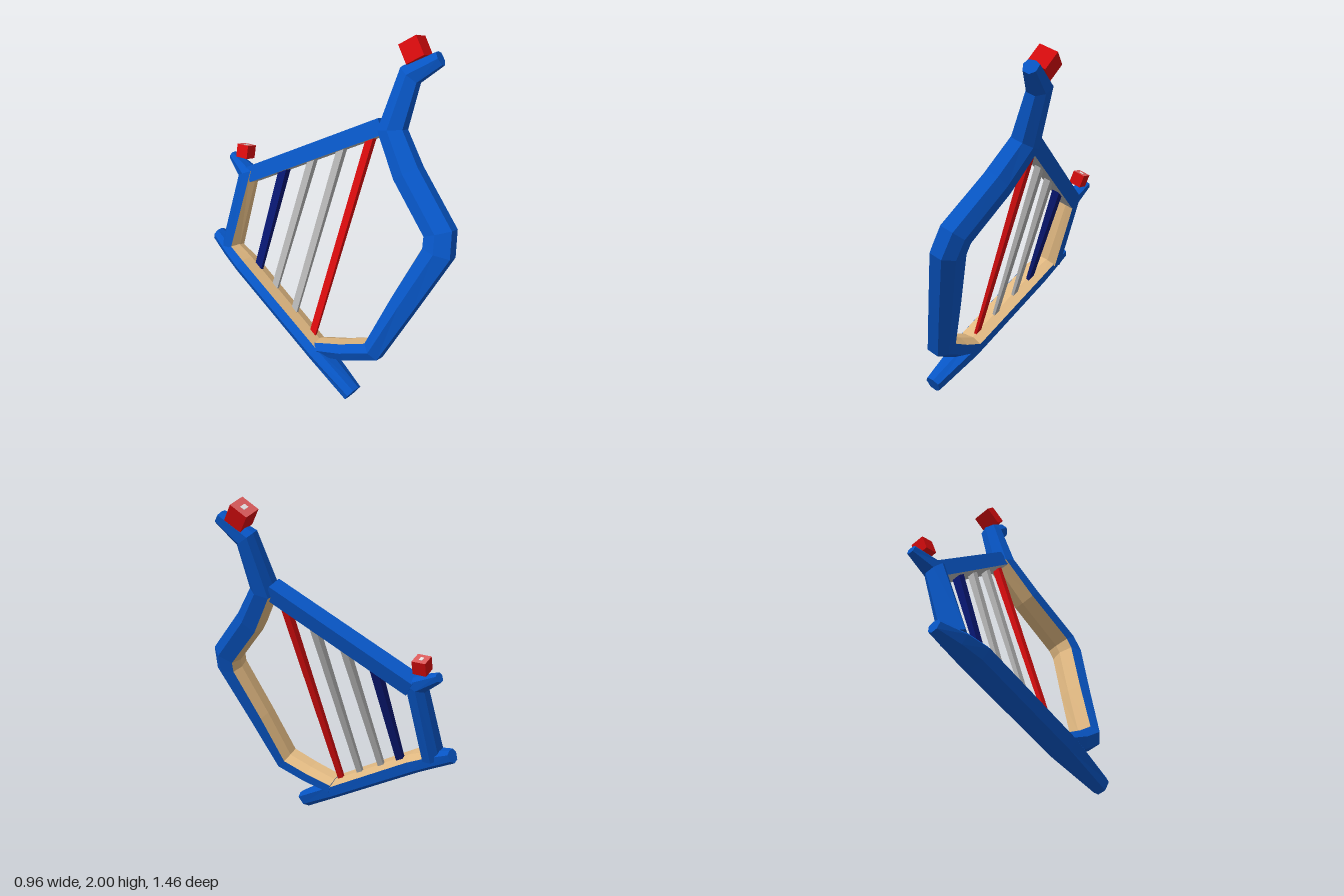
import * as THREE from 'three';

// The harp lies in a tilted plane; points are given as (z, y) and x follows.
const N = new THREE.Vector3(0.876, -0.356, -0.327).normalize();
const P = (z, y, off = 0) =>
  new THREE.Vector3(-0.436 + 0.4064 * y + 0.3733 * z, y, z).addScaledVector(N, off);

const mat = (name, color) => {
  const m = new THREE.MeshStandardMaterial({ color, flatShading: true });
  m.name = name;
  return m;
};

// Facets given as triples of Vector3
function facets(name, tris, material) {
  const g = new THREE.BufferGeometry().setFromPoints(tris);
  g.computeVertexNormals();
  const mesh = new THREE.Mesh(g, material);
  mesh.name = name;
  return mesh;
}

// Beam cross-section: (outward, across the plane); the last two edges face inward
const SECTION = [[-0.74, -0.74], [0.1, -1], [1, -0.45], [1, 0.45], [0.3, 1], [-0.78, 0.9], [-1, 0.15]];

// Sweep a chamfered beam along points [z, y, halfWidth, halfThickness, offset].
// Segments whose index is in [from, to) get wooden inner faces.
function beam(name, path, blue, wood, from, to) {
  const pts = path.map(([z, y, , , off]) => P(z, y, off));
  const dirs = pts.slice(1).map((p, i) => p.clone().sub(pts[i]).normalize());
  const rings = path.map(([, , w, h], i) => {
    const d0 = dirs[Math.max(i - 1, 0)], d1 = dirs[Math.min(i, dirs.length - 1)];
    const t = d0.clone().add(d1).normalize();
    const out = t.clone().cross(N).normalize();
    const a = w / Math.max(t.dot(d0), 0.6);
    return SECTION.map(([u, v]) =>
      pts[i].clone().addScaledVector(out, u * a).addScaledVector(N, v * h));
  });
  const count = SECTION.length, shell = [], inner = [];
  for (let k = 1; k < rings.length; k++) {
    const p = rings[k - 1], c = rings[k];
    for (let j = 0; j < count; j++) {
      const n = (j + 1) % count;
      const list = j >= count - 2 && k - 1 >= from && k - 1 < to ? inner : shell;
      list.push(c[j], c[n], p[j], c[n], p[n], p[j]);
    }
  }
  // End caps
  const s = rings[0], e = rings[rings.length - 1];
  for (let j = 1; j < count - 1; j++) shell.push(s[0], s[j], s[j + 1], e[0], e[j + 1], e[j]);
  const group = new THREE.Group();
  group.name = name;
  group.add(facets(name + 'Shell', shell, blue), facets(name + 'InnerFace', inner, wood));
  return group;
}

// Box whose x axis is the plane normal and whose y axis follows "up"
function alignedBox(name, size, center, up, material) {
  const mesh = new THREE.Mesh(new THREE.BoxGeometry(...size), material);
  const y = up.clone().addScaledVector(N, -up.dot(N)).normalize();
  mesh.quaternion.setFromRotationMatrix(
    new THREE.Matrix4().makeBasis(N, y, N.clone().cross(y)));
  mesh.position.copy(center);
  mesh.name = name;
  return mesh;
}

export function createModel() {
  const blue = mat('frame blue', 0x0755c4);
  const wood = mat('inner wood', 0xe1b982);
  const red = mat('red', 0xd60b0d);
  const pink = mat('knob pink', 0xd85a5a);
  const white = mat('knob white', 0xe4e0e0);
  const grey = mat('string grey', 0xb2b2b2);
  const navy = mat('string navy', 0x071670);
  const harp = new THREE.Group();
  harp.name = 'harp';

  // Curved pillar from the neck tip down to the base
  harp.add(beam('pillar', [
    [0.295, 1.9, 0.04, 0.042], [0.17, 1.79, 0.062, 0.062], [0.175, 1.5, 0.075, 0.077],
    [0.34, 1.31, 0.085, 0.083], [0.61, 1.075, 0.085, 0.085], [0.638, 0.98, 0.087, 0.085],
    [0.565, 0.66, 0.077, 0.083], [0.5, 0.355, 0.06, 0.083], [0.35, 0.285, 0.058, 0.08],
    [0.2, 0.235, 0.05, 0.075],
  ], blue, wood, 2, 9));

  // Base bar with projecting foot
  harp.add(beam('baseBar', [
    [0.475, 0.06, 0.052, 0.05], [0.2, 0.21, 0.055, 0.083, -0.008],
    [-0.41, 0.528, 0.055, 0.088, -0.022], [-0.53, 0.58, 0.05, 0.07, -0.015],
    [-0.66, 0.63, 0.038, 0.04],
  ], blue, wood, 1, 3));

  // Short rear post with its horn
  harp.add(beam('rearPost', [
    [-0.54, 0.6, 0.048, 0.078, -0.01], [-0.57, 1.04, 0.05, 0.06, -0.01],
    [-0.715, 1.105, 0.026, 0.028],
  ], blue, wood, 0, 1));

  // Plain crossbar holding the strings, grey on the underside
  const c0 = P(-0.55, 1.035), c1 = P(0.13, 1.508);
  const barDir = c1.clone().sub(c0);
  harp.add(alignedBox('crossbar', [0.1, barDir.length(), 0.092],
    c0.add(c1).multiplyScalar(0.5), barDir, [blue, blue, blue, blue, grey, blue]));

  // Strings, thinner at the foot: top z, top y, bottom z, bottom y, width
  [
    ['redString', 0.08, 1.45, 0.135, 0.25, 0.042, red],
    ['frontGreyString', -0.062, 1.36, -0.02, 0.34, 0.042, grey],
    ['rearGreyString', -0.21, 1.26, -0.185, 0.42, 0.042, grey],
    ['navyString', -0.36, 1.15, -0.325, 0.49, 0.05, navy],
  ].forEach(([name, z1, y1, z0, y0, w, m]) => {
    const a = P(z1, y1), b = P(z0, y0);
    const along = a.clone().sub(b);
    const string = alignedBox(name, [w, along.length(), w], a.add(b).multiplyScalar(0.5), along, m);
    const pos = string.geometry.attributes.position;
    for (let i = 0; i < pos.count; i++) if (pos.getY(i) < 0) pos.setX(i, pos.getX(i) * 0.4);
    harp.add(string);
  });

  // Tuning knobs: size, z, y, offset, turn in the plane, index of the pale upper face
  [
    ['neckKnob', 0.112, 0.158, 1.91, -0.008, 52, 5],
    ['rearKnob', 0.078, -0.628, 1.153, -0.014, -4, 2],
  ].forEach(([name, s, z, y, off, turn, pale]) => {
    const up = new THREE.Vector3(0, 1, 0).applyAxisAngle(N, THREE.MathUtils.degToRad(turn));
    const faces = Array.from({ length: 6 }, (_, i) => (i === pale ? pink : red));
    const knob = alignedBox(name, [s, s, s], P(z, y, off), up, faces);
    harp.add(knob);
    // Small white inlay on the pale face
    const inlay = new THREE.Mesh(new THREE.BoxGeometry(s * 0.35, s * 0.25, 0.004), white);
    inlay.name = name + 'Inlay';
    if (pale === 5) inlay.position.z = -s / 2;
    else {
      inlay.position.y = s / 2;
      inlay.rotation.x = Math.PI / 2;
    }
    knob.add(inlay);
  });

  return harp;
}
